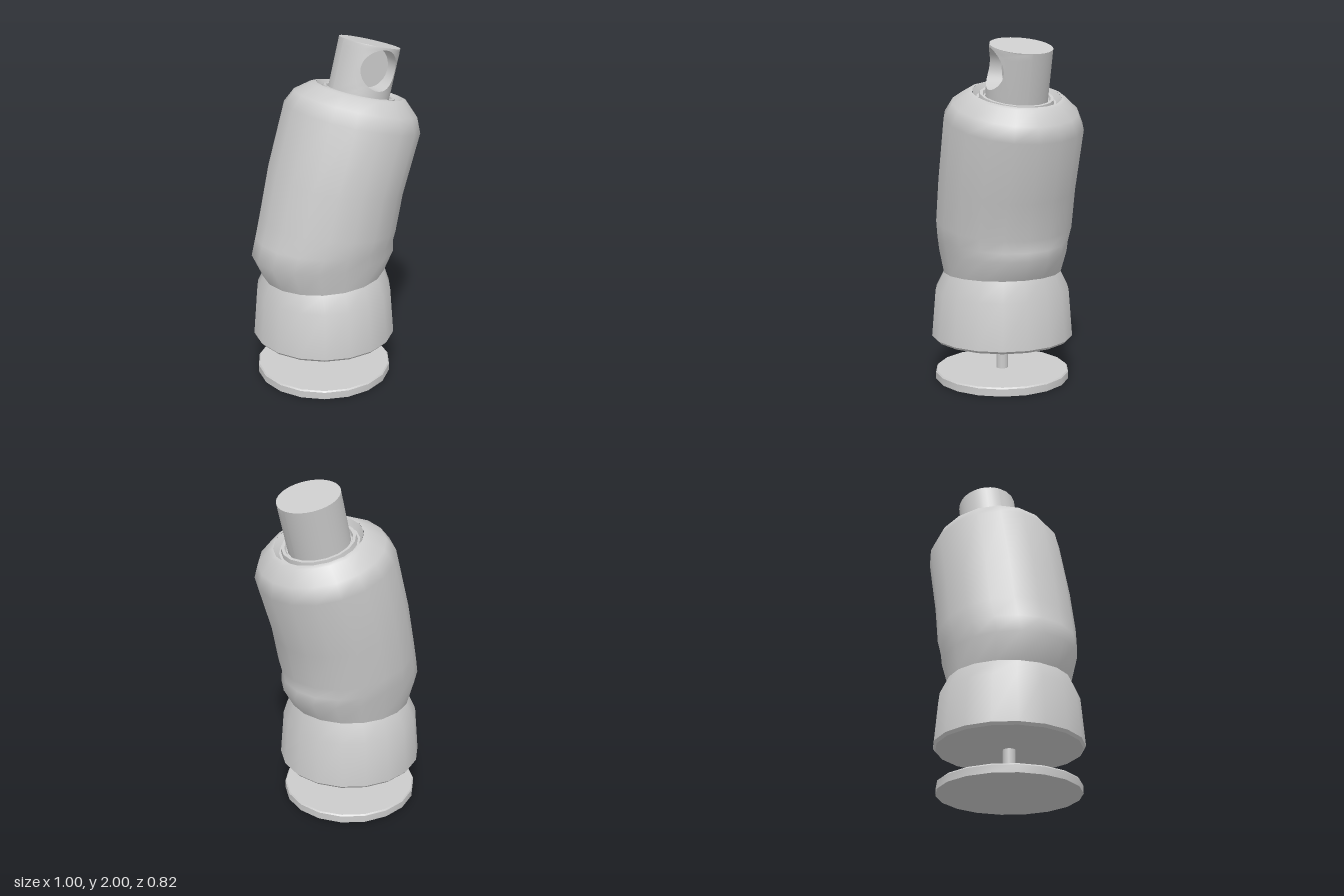
import * as THREE from 'three';
import { toCreasedNormals } from 'three/addons/utils/BufferGeometryUtils.js';

const SIDES = 18;
const material = new THREE.MeshStandardMaterial({ color: 0xcccccc });

function gridGeometry(positions, rows, cols) {
  const index = [];
  for (let r = 0; r < rows - 1; r++) {
    for (let c = 0; c < cols; c++) {
      const d = (c + 1) % cols;
      const a = r * cols + c, b = r * cols + d;
      index.push(a, b, b + cols, a, b + cols, a + cols);
    }
  }
  const geometry = new THREE.BufferGeometry();
  geometry.setAttribute('position', new THREE.Float32BufferAttribute(positions, 3));
  geometry.setIndex(index);
  geometry.computeVertexNormals();
  return geometry;
}

// Rings, bottom to top: [left x, left y, right x, right y, half depth]
function loft(rings) {
  const pos = [];
  for (const [lx, ly, rx, ry, hz] of rings) {
    for (let i = 0; i < SIDES; i++) {
      const a = (i / SIDES) * Math.PI * 2, c = Math.cos(a);
      pos.push((lx + rx) / 2 + c * (rx - lx) / 2, (ly + ry) / 2 + c * (ry - ly) / 2, -Math.sin(a) * hz * 1.015);
    }
  }
  return gridGeometry(pos, rings.length, SIDES);
}

const AXIS_X = -0.075;
const level = (r, y) => [AXIS_X - r, y, AXIS_X + r, y, r * 0.985];

function add(parent, name, geometry, x = 0, y = 0, z = 0) {
  const mesh = new THREE.Mesh(geometry, material);
  mesh.name = name;
  mesh.position.set(x, y, z);
  parent.add(mesh);
  return mesh;
}

// Front half of the neck wall, running from the rectangular border in to the round bore
function boredWall(R, bottom, top, holeY, holeR) {
  const n = 10, steps = 5, pos = [];
  const border = [];
  const corners = [[-1, 0], [1, 0], [1, 1], [-1, 1]];
  corners.forEach(([u, v], k) => {
    const [u2, v2] = corners[(k + 1) % 4];
    for (let i = 0; i < n; i++) border.push([u + (u2 - u) * i / n, v + (v2 - v) * i / n]);
  });
  for (let s = 0; s <= steps; s++) {
    const t = s / steps;
    border.forEach(([u, v], i) => {
      const a = -Math.PI * 0.75 + (i / border.length) * Math.PI * 2;
      const angle = THREE.MathUtils.lerp(u * Math.PI / 2, Math.asin(holeR * Math.cos(a) / R), t);
      const y = THREE.MathUtils.lerp(bottom + v * (top - bottom), holeY + holeR * Math.sin(a), t);
      pos.push(R * Math.sin(angle), y, R * Math.cos(angle));
    });
  }
  return gridGeometry(pos, steps + 1, border.length);
}

// Bore wall, facing the bore's axis, from the neck surface back to the floor
function boreWall(R, holeY, holeR, floorZ) {
  const n = 40, pos = [];
  for (let s = 0; s < 2; s++) {
    for (let i = 0; i < n; i++) {
      const a = (i / n) * Math.PI * 2, x = holeR * Math.cos(a);
      pos.push(x, holeY + holeR * Math.sin(a), s ? floorZ : Math.sqrt(R * R - x * x));
    }
  }
  return gridGeometry(pos, 2, n);
}

export function createModel() {
  const model = new THREE.Group();
  model.name = 'model';

  // Foot disc and post
  add(model, 'baseDisc', toCreasedNormals(loft([
    level(0, 0), level(0.397, 0), level(0.397, 0.042), level(0.39, 0.05), level(0, 0.05)
  ]), 0.6));
  add(model, 'post', new THREE.CylinderGeometry(0.035, 0.035, 0.22, 12), AXIS_X, 0.15);

  // Lower cup with a slightly sloping top edge
  add(model, 'lowerCup', toCreasedNormals(loft([
    level(0, 0.25), level(0.405, 0.25), level(0.418, 0.265), level(0.395, 0.54),
    [-0.435, 0.63, 0.285, 0.655, 0.338]
  ]), 0.6));

  // Leaning body, pinched just above the cup and rounded at the shoulder
  add(model, 'body', loft([
    [-0.435, 0.63, 0.285, 0.655, 0.338],
    [-0.505, 0.775, 0.355, 0.775, 0.362],
    [-0.475, 0.88, 0.335, 0.82, 0.375],
    [-0.44, 1.0, 0.348, 0.89, 0.39],
    [-0.38, 1.27, 0.39, 1.1, 0.39],
    [-0.27, 1.64, 0.5, 1.44, 0.39],
    [-0.21, 1.71, 0.485, 1.53, 0.35],
    [-0.11, 1.75, 0.43, 1.617, 0.272],
    [-0.08, 1.751, 0.405, 1.629, 0.247]
  ]));

  // Tilted neck assembly
  const neck = new THREE.Group();
  neck.name = 'neck';
  neck.position.set(0.163, 1.69, 0);
  neck.rotation.z = -0.248;
  model.add(neck);

  // Grooved collar round the neck
  const profile = [[0.25, 0], [0.225, -0.035], [0.212, -0.035], [0.207, -0.008], [0.19, -0.008], [0.183, -0.025], [0.165, -0.025]]
    .map(([r, y]) => new THREE.Vector2(r, y));
  const collar = new THREE.LatheGeometry(profile, SIDES).rotateY(Math.PI / 2);
  add(neck, 'collar', toCreasedNormals(collar, 0.6));

  // Neck tube with a blind round bore in front
  const R = 0.175, bottom = -0.05, top = 0.273, holeY = 0.145, holeR = 0.115, floorZ = 0.06;
  add(neck, 'neckFront', boredWall(R, bottom, top, holeY, holeR));
  add(neck, 'neckBack', new THREE.CylinderGeometry(R, R, top - bottom, 20, 1, true, Math.PI / 2, Math.PI), 0, (top + bottom) / 2);
  add(neck, 'neckTop', new THREE.CircleGeometry(R, 40).rotateX(-Math.PI / 2), 0, top);
  add(neck, 'boreWall', boreWall(R, holeY, holeR, floorZ));
  add(neck, 'boreFloor', new THREE.CircleGeometry(holeR, 40), 0, holeY, floorZ);

  return model;
}
